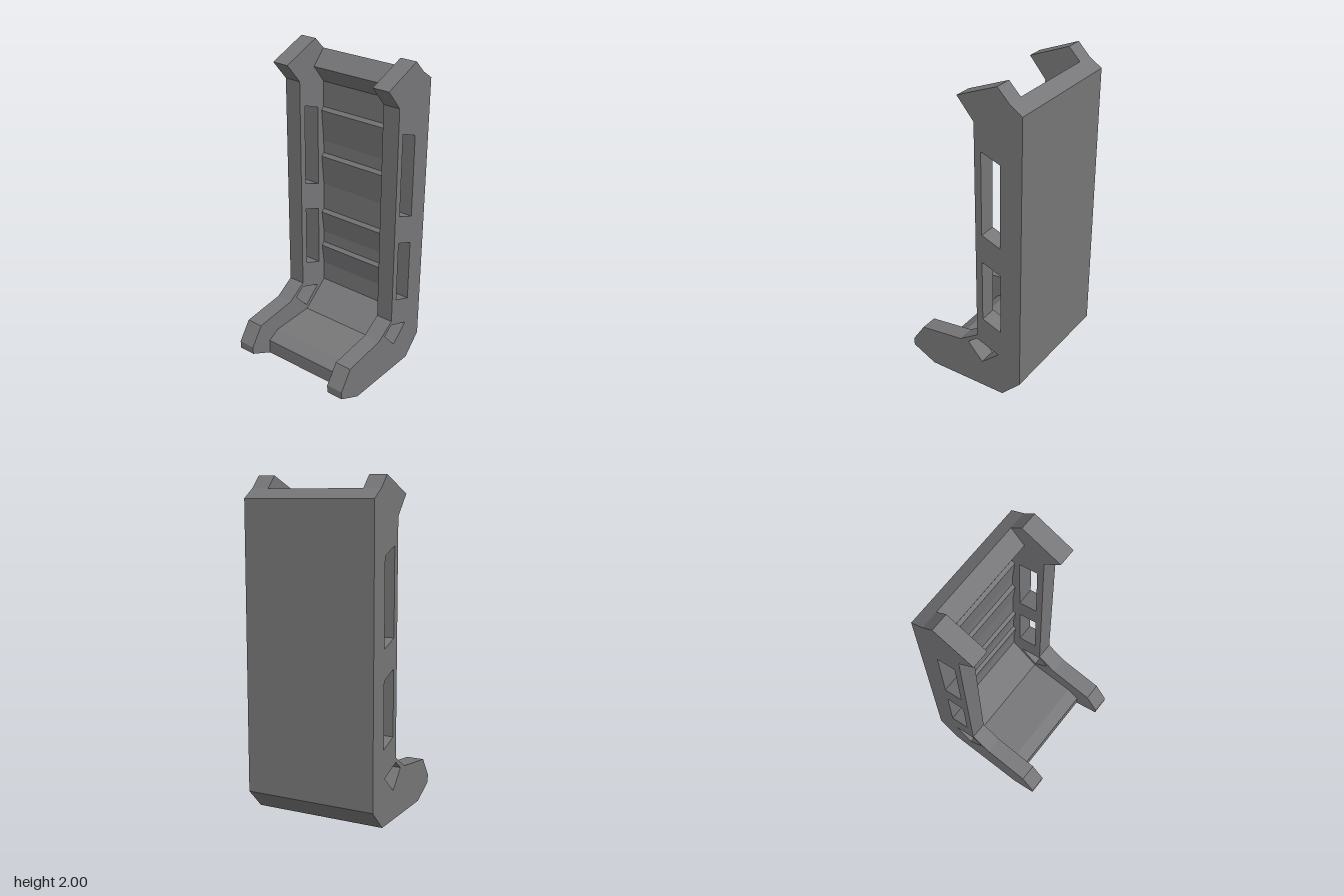
import * as THREE from 'three';

const gray = new THREE.MeshStandardMaterial({ color: 0x777779 });
gray.name = 'graphite plastic';

const OUTER = 0.414; // half width over the side plates
const INNER = 0.305; // half width between the side plates

const toPoints = (list) => list.map(([x, y]) => new THREE.Vector2(x, y));

// Extrudes an x-y outline along z from z0 to z1
function slab(name, outline, holes, z0, z1) {
  const shape = new THREE.Shape(toPoints(outline));
  for (const hole of holes) shape.holes.push(new THREE.Path(toPoints(hole)));
  const geometry = new THREE.ExtrudeGeometry(shape, { depth: z1 - z0, bevelEnabled: false });
  geometry.translate(0, 0, z0);
  const mesh = new THREE.Mesh(geometry, gray);
  mesh.name = name;
  return mesh;
}

// Slanted window through a side plate
const windowHole = (bottom, top) => [
  [0.14, bottom + 0.047], [0.14, top + 0.047], [0.265, top], [0.265, bottom],
];

export function createModel() {
  const group = new THREE.Group();
  group.name = 'wallHolder';

  // Side plates with hooked top, foot and openings
  const sideOutline = [
    [0.278, 0], [0.402, 0.126], [0.402, 1.87], [0.32, 1.925], [0.247, 2], [-0.01, 1.896],
    [0.097, 1.77], [0.097, 0.37], [-0.03, 0.287], [-0.32, 0.25], [-0.402, 0.128],
    [-0.402, 0.078], [-0.245, 0],
  ];
  const sideHoles = [
    windowHole(0.46, 0.86),
    windowHole(1.04, 1.56),
    [[0.03, 0.292], [0.095, 0.342], [0.25, 0.285], [0.13, 0.18]],
  ];
  group.add(slab('rightSidePlate', sideOutline, sideHoles, -OUTER, -INNER));
  group.add(slab('leftSidePlate', sideOutline, sideHoles, INNER, OUTER));

  // Floor, ramp, wall and wedge-shaped top bar in one section
  const section = [
    [0.278, 0], [0.402, 0.126], [0.402, 1.87], [0.32, 1.925], [0.23, 1.83], [0.32, 1.715],
  ];
  // Low ribs on the wall: a sloped ledge on top, tapering back below
  for (const [top, bottom] of [[1.55, 1.32], [1.24, 1.02], [0.84, 0.67], [0.59, 0.43]]) {
    section.push([0.32, top], [0.3, top - 0.02], [0.32, bottom]);
  }
  section.push([0.32, 0.3], [0.135, 0.15], [-0.165, 0.14], [-0.245, 0.095], [-0.245, 0]);
  group.add(slab('backWallAndFloor', section, [], -INNER, INNER));

  return group;
}
